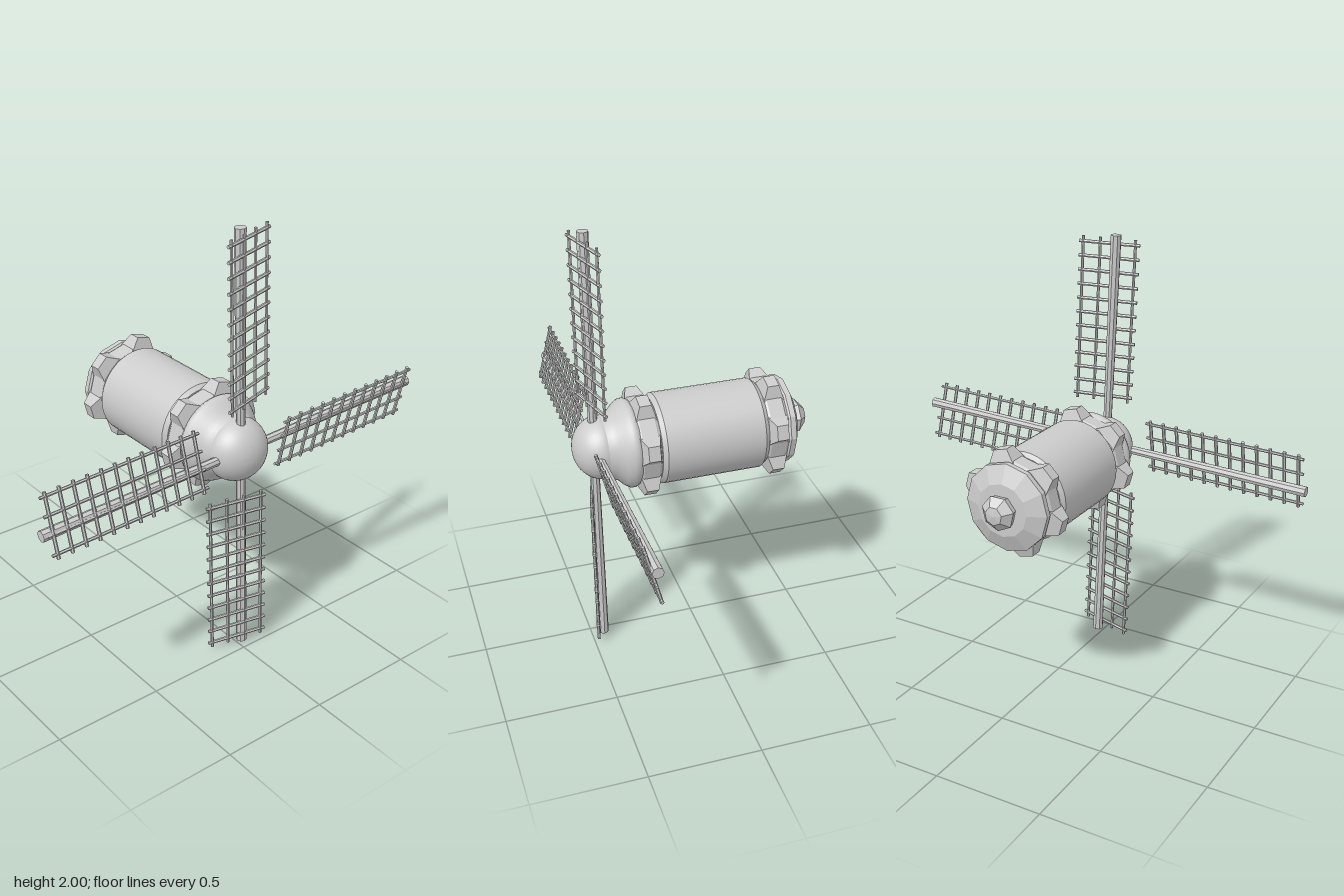
import * as THREE from 'three';
import { toCreasedNormals } from 'three/addons/utils/BufferGeometryUtils.js';

const smooth = new THREE.MeshStandardMaterial({ color: 0xcccccc });
const faceted = new THREE.MeshStandardMaterial({ color: 0xcccccc, flatShading: true });

function mesh(name, geometry, material, parent) {
  const m = new THREE.Mesh(geometry, material);
  m.name = name;
  parent.add(m);
  return m;
}

// Turned shape along z; profile is [radius, z] pairs from back to front
function turned(profile, sides) {
  const points = profile.map(([r, z]) => new THREE.Vector2(r, z));
  return new THREE.LatheGeometry(points, sides).rotateX(Math.PI / 2);
}

// Block narrowing outward along +x
function studGeometry() {
  const g = new THREE.BoxGeometry(0.065, 0.13, 0.096);
  const p = g.attributes.position;
  for (let i = 0; i < p.count; i++) {
    if (p.getX(i) > 0) p.setXYZ(i, p.getX(i), p.getY(i) * 0.52, p.getZ(i) * 0.55);
  }
  return g.translate(0.209, 0, 0);
}

// Collar with six tapered studs
function studdedRing(z) {
  const ring = new THREE.Group();
  ring.name = 'studdedRing';
  ring.position.z = z;
  mesh('ringBand', turned([[0, -0.05], [0.19, -0.05], [0.2, -0.035], [0.2, 0.035], [0.19, 0.05], [0, 0.05]], 12), faceted, ring);
  const stud = studGeometry();
  for (let i = 0; i < 6; i++) {
    mesh('stud', stud, faceted, ring).rotation.z = (15 + 60 * i) * Math.PI / 180;
  }
  return ring;
}

// Spar with a pitched lattice on its front, pointing up
function sail() {
  const blade = new THREE.Group();
  blade.name = 'sail';
  mesh('spar', new THREE.CylinderGeometry(0.025, 0.02, 0.95, 8).translate(0, 0.525, 0), faceted, blade);

  const lattice = new THREE.Group();
  lattice.name = 'lattice';
  lattice.position.z = 0.02;
  lattice.rotation.y = 0.25;
  blade.add(lattice);
  const rod = new THREE.CylinderGeometry(0.007, 0.007, 0.77, 6);
  for (const x of [-0.081, 0, 0.081, 0.16]) {
    mesh('latticeRod', rod, faceted, lattice).position.set(x, 0.595, 0);
  }
  const rung = new THREE.CylinderGeometry(0.008, 0.008, 0.28, 6).rotateZ(Math.PI / 2);
  for (let i = 0; i < 12; i++) {
    mesh('latticeRung', rung, faceted, lattice).position.set(0.038, 0.235 + i * 0.0655, 0);
  }
  return blade;
}

export function createModel() {
  const model = new THREE.Group();
  model.name = 'windmillRotor';

  // Main drum
  mesh('drum', toCreasedNormals(turned([
    [0, -0.31], [0.19, -0.31], [0.205, -0.29], [0.205, 0.16], [0.19, 0.18], [0, 0.18],
  ], 40), 0.5), smooth, model);
  model.add(studdedRing(0.23), studdedRing(-0.355));

  // Flared neck and rounded nose
  mesh('neck', toCreasedNormals(turned([
    [0, 0.27], [0.19, 0.27], [0.2, 0.285], [0.2, 0.305], [0.185, 0.33], [0.16, 0.355], [0.146, 0.38], [0.14, 0.41], [0, 0.41],
  ], 40), 0.6), smooth, model);
  const nose = [[0, 0.36], [0.125, 0.36]];
  for (let i = 0; i <= 12; i++) {
    const a = i / 12 * Math.PI / 2;
    nose.push([0.143 * Math.cos(a), 0.41 + 0.13 * Math.sin(a)]);
  }
  mesh('nose', toCreasedNormals(turned(nose, 40), 0.6), smooth, model);

  // Low-poly rear cap and knob
  mesh('rearCap', turned([[0, -0.472], [0.12, -0.47], [0.2, -0.435], [0.2, -0.41], [0.18, -0.39], [0, -0.39]], 12), faceted, model);
  mesh('rearKnob', turned([[0, -0.545], [0.042, -0.538], [0.08, -0.503], [0.068, -0.465], [0, -0.46]], 7), faceted, model);

  // Four sails, turned slightly from upright
  const rotor = new THREE.Group();
  rotor.name = 'rotor';
  rotor.position.z = 0.443;
  rotor.rotation.z = 0.033;
  for (let i = 0; i < 4; i++) {
    const s = sail();
    s.rotation.z = i * Math.PI / 2;
    rotor.add(s);
  }
  model.add(rotor);

  model.children.forEach((part) => { part.position.y += 1; });
  return model;
}
